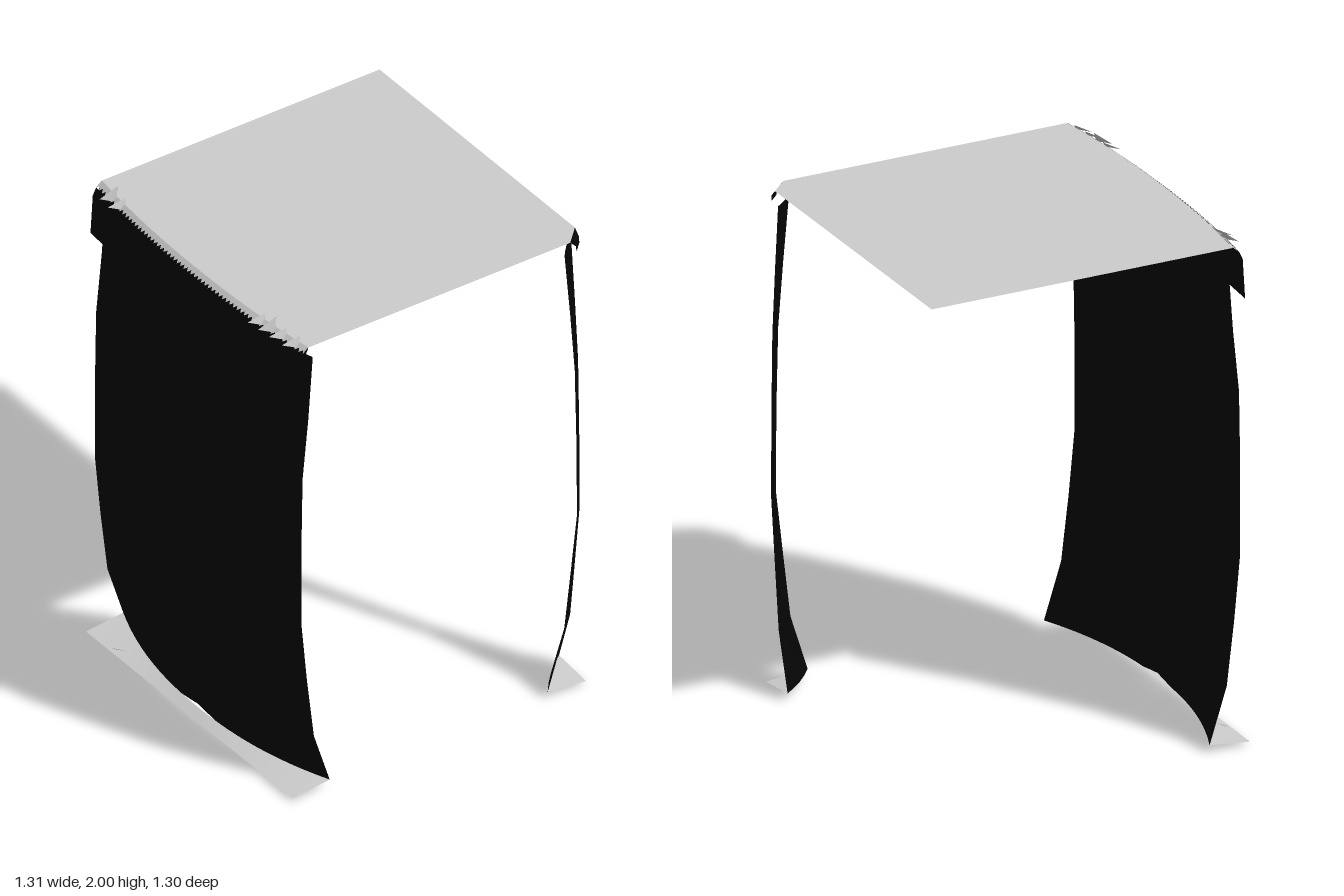
import * as THREE from 'three';

const H = 0.65; // half width of the square bay
const grey = new THREE.MeshStandardMaterial({ color: 0xcccccc, side: THREE.DoubleSide });
const black = new THREE.MeshStandardMaterial({ color: 0x050505, side: THREE.DoubleSide });

// Open sheet: at(i, u) gives the point on row i, with u running -1..1 along the row
function sheet(name, rows, cols, at, material) {
  const pos = [], index = [];
  for (let i = 0; i < rows; i++)
    for (let j = 0; j <= cols; j++) pos.push(...at(i, (2 * j) / cols - 1));
  for (let i = 0; i < rows - 1; i++)
    for (let j = 0; j < cols; j++) {
      const a = i * (cols + 1) + j, b = a + cols + 1;
      index.push(a, b, a + 1, b, b + 1, a + 1);
    }
  const geo = new THREE.BufferGeometry();
  geo.setAttribute('position', new THREE.Float32BufferAttribute(pos, 3));
  geo.setIndex(index);
  geo.computeVertexNormals();
  const mesh = new THREE.Mesh(geo, material);
  mesh.name = name;
  return mesh;
}

// Bowed line: value `mid` at the centre, `end` at both ends
const bow = (mid, end, u) => mid + (end - mid) * Math.pow(Math.abs(u), 2.2);

// Flat panel outlined by [x, z] points
function panel(name, points, y) {
  const shape = new THREE.Shape(points.map(([x, z]) => new THREE.Vector2(x, -z)));
  const geo = new THREE.ShapeGeometry(shape);
  geo.rotateX(-Math.PI / 2);
  geo.translate(0, y, 0);
  const mesh = new THREE.Mesh(geo, grey);
  mesh.name = name;
  return mesh;
}

export function createModel() {
  const model = new THREE.Group();

  // Flat roof: bowed on the wall side, one corner cut for the column
  const outline = [[H, -H], [H, 0.58], [0.58, H]];
  for (let j = 0; j <= 16; j++) {
    const u = 1 - j / 8;
    outline.push([bow(-0.62, -0.58, u), u * H]);
  }
  model.add(panel('roof', outline, 1.97));

  // Height, x at the middle, x at the ends
  const wall = [
    [0.03, -0.61, -0.485], [0.25, -0.63, -0.555], [0.5, -0.643, -0.585], [0.76, -0.65, -0.61],
    [1.1, -0.65, -0.61], [1.4, -0.65, -0.605], [1.65, -0.65, -0.58], [1.92, -0.645, -0.56],
  ];
  model.add(sheet('curvedWall', wall.length, 24, (i, u) => {
    const [y, mid, end] = wall[i];
    const lift = i === 0 ? 0.015 * Math.max(0, 1 - Math.abs(u) * 6) : 0;
    return [bow(mid, end, u), y + lift, u * H];
  }, black));

  // Black band hanging outside the top of the wall
  const band = [[1.95, -0.645, -0.605], [1.92, -0.652, -0.62], [1.76, -0.654, -0.63]];
  model.add(sheet('wallBand', band.length, 24, (i, u) =>
    [bow(band[i][1], band[i][2], u), band[i][0], u * H], black));

  // Inner fascia below the roof edge
  const fascia = [[1.968, -0.62, -0.58], [1.92, -0.64, -0.6]];
  model.add(sheet('wallFascia', fascia.length, 24, (i, u) =>
    [bow(fascia[i][1], fascia[i][2], u), fascia[i][0], u * H], black));

  // Ragged grey trim between roof and band, with fine teeth
  model.add(sheet('raggedTrim', 2, 120, (i, u) => {
    const tooth = Math.round((u + 1) * 60) % 2;
    return i === 0
      ? [bow(-0.62, -0.58, u), 1.971, u * H]
      : [bow(-0.645, -0.605, u) + tooth * 0.012, 1.95 + tooth * 0.008, u * H];
  }, grey));

  // Small torn spikes along the trim
  const spikes = [[0.59, 1.985], [0.52, 1.985], [0.46, 2], [0.4, 1.985], [-0.49, 1.985], [-0.55, 2]];
  for (const [z, tip] of spikes) {
    const x = bow(-0.63, -0.59, z / H);
    model.add(sheet('trimSpike', 2, 2, (i, u) =>
      i === 0 ? [x - 0.02 + 0.02 * u, 1.955, z + u * 0.025] : [x + 0.02, tip, z + u * 0.002], grey));
  }

  // Floor strip outside the wall foot
  model.add(sheet('wallFloor', 2, 24, (i, u) =>
    i === 0 ? [-H, 0.012, u * H] : [bow(-0.61, -0.485, u), 0.03, u * H], grey));
  model.add(sheet('floorSpike', 2, 1, (i, u) =>
    i === 0 ? [-0.62 + 0.02 * u, 0.02, -0.47 + 0.03 * u] : [-0.6, 0, -0.47], grey));

  // Diagonal corner column: height and where its edges meet the two bay sides
  const column = [[0.03, 0.48], [0.25, 0.55], [0.5, 0.58], [0.76, 0.61],
    [1.1, 0.607], [1.4, 0.6], [1.65, 0.58], [1.92, 0.555]];
  const diagonal = (c, y, u, bulge = 0) => {
    const m = (H - c) / 2, b = bulge * (H - c) * (1 - u * u);
    return [H - m + u * m - b, y, H - m - u * m - b];
  };
  model.add(sheet('cornerColumn', column.length, 4, (i, u) =>
    diagonal(column[i][1], column[i][0], u, 0.04), black));

  // Narrow collar joining column and roof
  const collar = [[1.92, 0.608], [1.945, 0.605], [1.97, 0.58]];
  model.add(sheet('columnCollar', collar.length, 2, (i, u) =>
    diagonal(collar[i][1], collar[i][0], u), black));

  // Floor triangle outside the column foot
  model.add(sheet('columnFloor', 2, 4, (i, u) =>
    i === 0 ? diagonal(0.48, 0.03, u, 0.04) : [H, 0.012, H], grey));

  return model;
}
